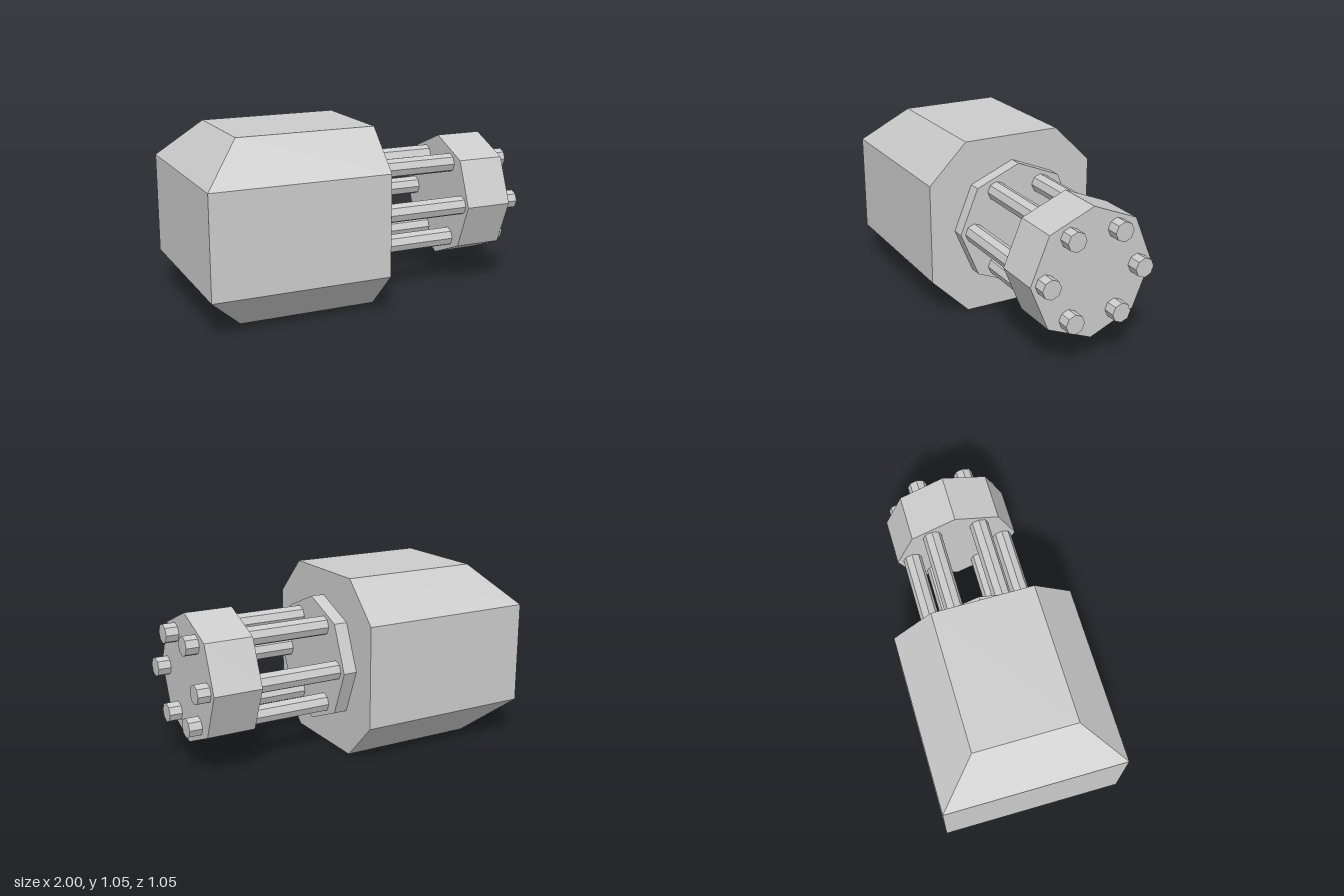
import * as THREE from 'three';
import { ConvexGeometry } from 'three/addons/geometries/ConvexGeometry.js';

const AXIS_Y = 0.527; // height of the barrel axis

export function createModel() {
  const model = new THREE.Group();
  model.name = 'rotaryBarrelUnit';
  const material = new THREE.MeshStandardMaterial({ color: 0xcccccc, flatShading: true });

  function add(name, geometry, x, y, z) {
    const mesh = new THREE.Mesh(geometry, material);
    mesh.name = name;
    mesh.position.set(x, y, z);
    model.add(mesh);
  }

  // Eight-sided prism lying along x, with corners on the y and z axes
  function addPrism(name, radius, x0, x1, dy = 0, z = 0) {
    const geometry = new THREE.CylinderGeometry(radius, radius, x1 - x0, 8).rotateZ(-Math.PI / 2);
    add(name, geometry, (x0 + x1) / 2, AXIS_Y + dy, z);
  }

  // Octagonal housing whose top and bottom slope in towards the rear
  const half = 0.527, flat = 0.298, corners = [];
  for (const sy of [-1, 1]) {
    for (const sz of [-1, 1]) {
      for (const [x, y, z] of [
        [0.05, half, flat], [0.05, flat, half],
        [-0.77, half, flat], [-1, flat, half],
      ]) corners.push(new THREE.Vector3(x, sy * y, sz * z));
    }
  }
  add('housing', new ConvexGeometry(corners), 0, AXIS_Y, 0);

  // Mounting plate and the clamp near the muzzles
  addPrism('mountingPlate', 0.377, 0.04, 0.13);
  addPrism('barrelClamp', 0.377, 0.64, 0.925);

  // Ring of six barrels
  const barrels = [
    [0, 0.291], [0, -0.283],
    [0.233, 0.145], [0.233, -0.145], [-0.233, 0.145], [-0.233, -0.145],
  ];
  barrels.forEach(([dy, z], i) => addPrism(`barrel${i + 1}`, 0.057, 0.1, 1, dy, z));

  return model;
}
